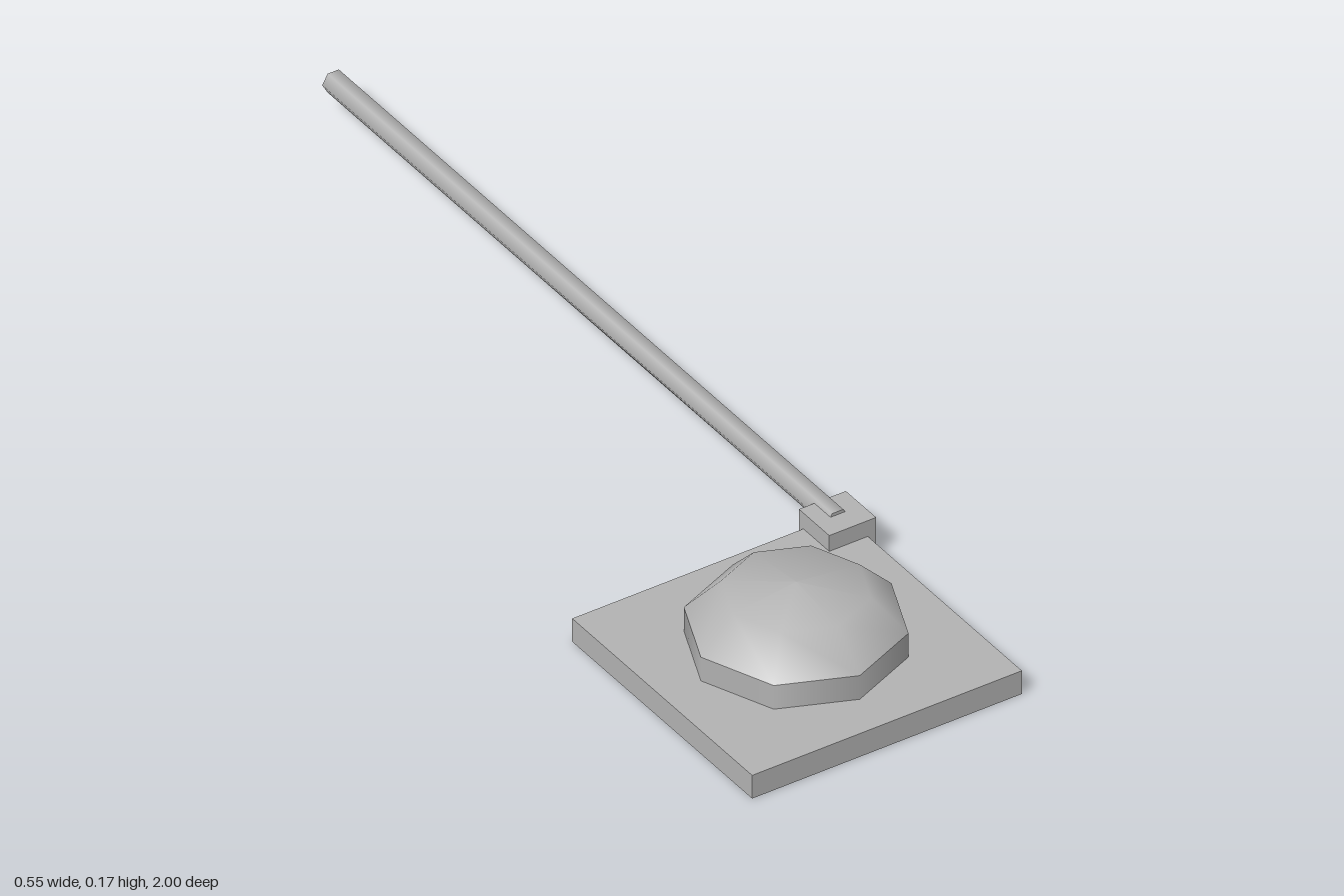
import * as THREE from 'three';

export function createModel() {
  const group = new THREE.Group();
  const grey = new THREE.MeshStandardMaterial({ color: 0xb4b4b4 });
  grey.name = 'grey';

  const add = (name, geometry, x, y, z) => {
    const mesh = new THREE.Mesh(geometry, grey);
    mesh.name = name;
    mesh.position.set(x, y, z);
    group.add(mesh);
    return mesh;
  };

  // Square base plate
  add('basePlate', new THREE.BoxGeometry(0.535, 0.047, 0.535), -0.009, 0.0235, 0.7325);

  // Eight-sided drum with a smooth shallow dome on top
  add('drumWall', new THREE.CylinderGeometry(0.189, 0.189, 0.05, 8, 1, true), -0.009, 0.07, 0.73);
  const profile = [[0.189, 0.095], [0.126, 0.158], [0, 0.173]].map(([r, y]) => new THREE.Vector2(r, y));
  add('dome', new THREE.LatheGeometry(profile, 8), -0.009, 0, 0.73);

  // Corner bracket holding the arm
  add('bracket', new THREE.BoxGeometry(0.093, 0.062, 0.09), 0.2285, 0.048, 0.497);

  // Long six-sided arm reaching backwards, flat side up
  const arm = new THREE.CylinderGeometry(0.022, 0.022, 1.5, 6, 1, false, Math.PI / 2);
  arm.rotateX(Math.PI / 2);
  add('arm', arm, 0.227, 0.066, -0.25);

  return group;
}
